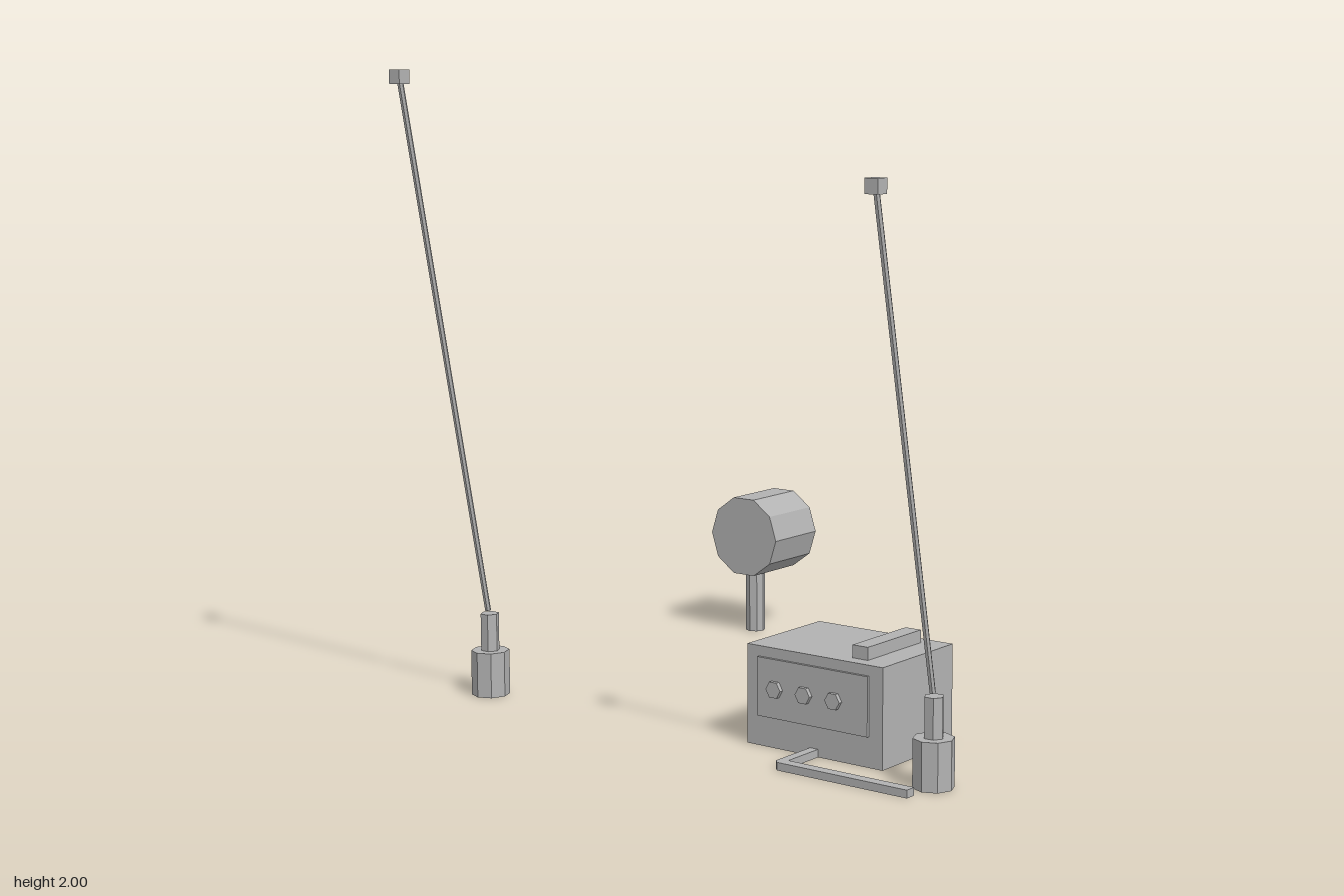
import * as THREE from 'three';

export function createModel() {
  const model = new THREE.Group();
  const grey = new THREE.MeshStandardMaterial({ color: 0xb2b2b2, flatShading: true });
  grey.name = 'grey';

  function add(name, geometry, x, y, z, parent) {
    const mesh = new THREE.Mesh(geometry, grey);
    mesh.name = name;
    mesh.position.set(x, y, z);
    parent.add(mesh);
    return mesh;
  }
  function group(name) {
    const g = new THREE.Group();
    g.name = name;
    model.add(g);
    return g;
  }
  const prism = (r, h, sides, start = 0) =>
    new THREE.CylinderGeometry(r, r, h, sides, 1, false, start, Math.PI * 2);
  const HALF = Math.PI / 2;

  // Leaning antennas: foot, collar, rod and cube tip
  function antenna(name, x, tipY, tipZ) {
    const g = group(name);
    add('foot', prism(0.061, 0.145, 8), x, 0.0725, 0.515, g);
    add('collar', prism(0.03, 0.12, 6, HALF), x, 0.205, 0.515, g);
    const from = new THREE.Vector3(x, 0.276, 0.522);
    const to = new THREE.Vector3(x, tipY, tipZ);
    const direction = to.clone().sub(from);
    const middle = from.clone().add(to).multiplyScalar(0.5);
    const rod = add('rod', prism(0.0095, direction.length(), 6, HALF), middle.x, middle.y, middle.z, g);
    rod.quaternion.setFromUnitVectors(new THREE.Vector3(0, 1, 0), direction.normalize());
    add('tip', new THREE.BoxGeometry(0.043, 0.043, 0.043), x, tipY, tipZ, g);
  }
  antenna('rightAntenna', -0.859, 1.9785, 0.8635);
  antenna('leftAntenna', 0.857, 1.71, 0.809);

  // Control box with front panel, knobs and top handle
  const box = group('controlBox');
  add('housing', new THREE.BoxGeometry(0.494, 0.305, 0.362), 0.402, 0.1525, 0.288, box);
  add('panel', new THREE.BoxGeometry(0.402, 0.18, 0.012), 0.4, 0.183, 0.472, box);
  for (const x of [0.267, 0.375, 0.483]) {
    add('knob', prism(0.027, 0.02, 6, HALF), x, 0.183, 0.481, box).rotation.x = HALF;
  }
  add('handle', new THREE.BoxGeometry(0.055, 0.04, 0.274), 0.537, 0.324, 0.288, box);

  // Flat cable running from the box towards the antenna
  const outline = new THREE.Shape([
    [0.388, 0.46], [0.418, 0.46], [0.418, 0.613], [0.858, 0.613],
    [0.858, 0.648], [0.402, 0.648], [0.388, 0.634],
  ].map(([x, z]) => new THREE.Vector2(x, z)));
  const cable = new THREE.ExtrudeGeometry(outline, { depth: 0.024, bevelEnabled: false });
  add('cable', cable, 0, 0.024, 0, model).rotation.x = HALF;

  // Drum lamp on a post, lens at the back
  const lamp = group('lamp');
  add('post', prism(0.034, 0.215, 8), -0.725, 0.1075, -0.702, lamp);
  add('drum', prism(0.143, 0.234, 10, HALF), -0.725, 0.347, -0.751, lamp).rotation.x = HALF;
  add('lens', prism(0.117, 0.025, 10, HALF), -0.725, 0.347, -0.8725, lamp).rotation.x = HALF;

  return model;
}
